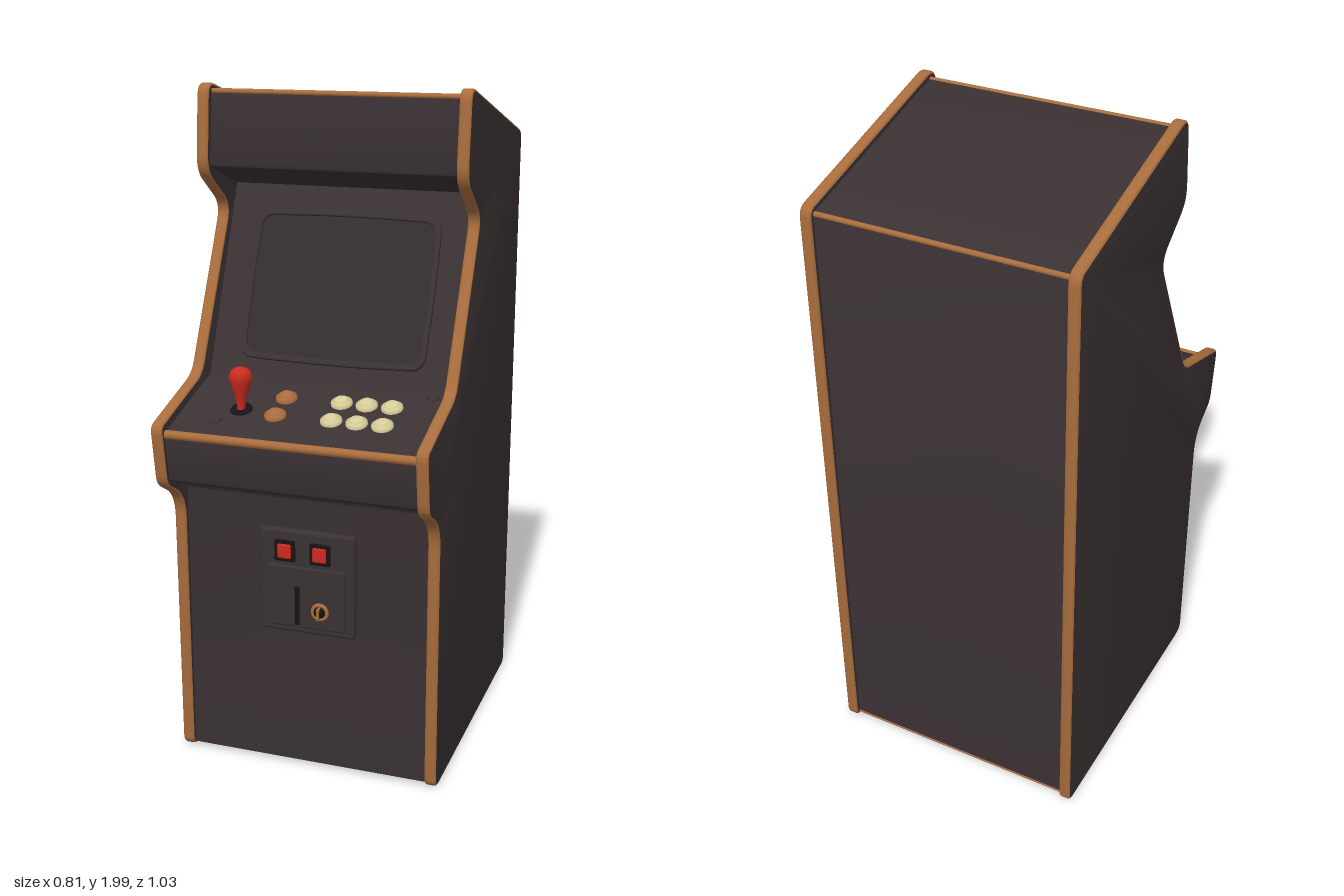
import * as THREE from 'three';
import { toCreasedNormals } from 'three/addons/utils/BufferGeometryUtils.js';
import { RoundedBoxGeometry } from 'three/addons/geometries/RoundedBoxGeometry.js';

const mat = (name, color) => Object.assign(new THREE.MeshStandardMaterial({ color }), { name });

// Closed shape from [x, y, corner radius] points
function roundedShape(points) {
  const v = points.map(([x, y]) => new THREE.Vector2(x, y));
  const n = v.length;
  const shape = new THREE.Shape();
  const toward = (a, b, d) => b.clone().sub(a).setLength(d).add(a);
  v.forEach((p, i) => {
    const r = points[i][2] || 0;
    const a = r ? toward(p, v[(i + n - 1) % n], r) : p;
    if (i) shape.lineTo(a.x, a.y); else shape.moveTo(a.x, a.y);
    if (r) {
      const b = toward(p, v[(i + 1) % n], r);
      shape.quadraticCurveTo(p.x, p.y, b.x, b.y);
    }
  });
  shape.closePath();
  return shape;
}

const screenShape = (w, h, r) => roundedShape([
  [-w, -h, r], [0, -h - 0.008, 0.15], [w, -h, r], [w + 0.006, 0, 0.15],
  [w, h, r], [0, h + 0.008, 0.15], [-w, h, r], [-w - 0.006, 0, 0.15],
]);

export function createModel() {
  const dark = mat('charcoal', 0x3a3133);
  const wood = mat('woodTrim', 0xa96d3d);
  const red = mat('red', 0xcc2a1e);
  const cream = mat('cream', 0xd6cc98);
  const black = mat('black', 0x171315);
  const glass = mat('screenGlass', 0x352d30);

  const model = new THREE.Group();
  const add = (name, geo, material, x = 0, y = 0, z = 0, parent = model) => {
    const mesh = new THREE.Mesh(geo, material);
    mesh.name = name;
    mesh.position.set(x, y, z);
    parent.add(mesh);
    return mesh;
  };

  // Side panels: (z, y) outline, dark faces with a rounded wood edge
  const sideShape = roundedShape([
    [-0.512, 0, 0.03], [0.375, 0, 0.04], [0.378, 0.83, 0.07], [0.492, 0.895, 0.03],
    [0.518, 1.08, 0.025], [0.235, 1.165, 0.04], [0.002, 1.63, 0.05],
    [0.16, 1.745, 0.05], [0.135, 2.005, 0.05], [-0.512, 1.83, 0.03],
  ]);
  for (const s of [-1, 1]) {
    const geo = toCreasedNormals(new THREE.ExtrudeGeometry(sideShape, {
      depth: 0.019, bevelThickness: 0.008, bevelSize: 0.007, bevelOffset: -0.007,
      bevelSegments: 3, curveSegments: 8,
    }), 0.6);
    geo.translate(0, 0, -0.0095);
    geo.rotateY(-Math.PI / 2);
    add(s > 0 ? 'leftSidePanel' : 'rightSidePanel', geo, [dark, wood], s * 0.3875);
  }

  // Cabinet body between the sides, with the recessed screen bay
  const bodyShape = roundedShape([
    [-0.495, 0.012], [0.358, 0.012], [0.358, 0.862, 0.02], [0.475, 0.905, 0.01],
    [0.495, 1.055, 0.01], [0.175, 1.15], [-0.06, 1.69], [0.138, 1.76, 0.01],
    [0.11, 1.978, 0.01], [-0.495, 1.815, 0.01],
  ]);
  const bodyGeo = new THREE.ExtrudeGeometry(bodyShape, { depth: 0.75, bevelEnabled: false });
  bodyGeo.translate(0, 0, -0.375);
  bodyGeo.rotateY(-Math.PI / 2);
  add('cabinetBody', toCreasedNormals(bodyGeo, 0.6), dark);

  // Wood strips along the cross edges: [name, y, z, radius]
  for (const [name, y, z, r] of [
    ['marqueeTopTrim', 1.972, 0.106, 0.008], ['controlPanelTrim', 1.05, 0.488, 0.013],
    ['backTopTrim', 1.81, -0.489, 0.008], ['backBottomTrim', 0.015, -0.491, 0.006],
  ]) {
    const geo = new THREE.CylinderGeometry(r, r, 0.745, 12);
    geo.rotateZ(Math.PI / 2);
    add(name, geo, wood, 0, y, z);
  }

  // Screen with a raised surround, lying on the sloped bay
  const screen = new THREE.Group();
  screen.name = 'screen';
  screen.position.set(0.003, 1.41, 0.0625);
  screen.rotation.x = -Math.atan2(0.235, 0.54);
  model.add(screen);
  const surround = screenShape(0.285, 0.226, 0.045);
  surround.holes.push(screenShape(0.267, 0.208, 0.04));
  add('screenSurround', new THREE.ExtrudeGeometry(surround, {
    depth: 0.006, bevelThickness: 0.005, bevelSize: 0.004, bevelOffset: -0.004, bevelSegments: 2,
  }), dark, 0, 0, 0, screen);
  add('screenGlass', new THREE.ExtrudeGeometry(screenShape(0.27, 0.211, 0.04), {
    depth: 0.004, bevelEnabled: false,
  }), glass, 0, 0, 0, screen);

  // Control panel: local x across, y out of the slope, z toward the player
  const panel = new THREE.Group();
  panel.name = 'controls';
  const slope = Math.atan2(0.095, 0.32);
  panel.position.set(0, 1.1025, 0.335);
  panel.rotation.x = slope;
  model.add(panel);
  const onPanel = z => (z - 0.335) / Math.cos(slope);
  const button = new THREE.LatheGeometry([[0, 0.02], [0.016, 0.019], [0.021, 0.014],
    [0.024, 0.01], [0.031, 0.008], [0.032, -0.004]].reverse().map(p => new THREE.Vector2(...p)), 20);
  for (const z of [0.27, 0.36]) {
    for (const x of [0.08, 0.155, 0.23]) add('playButton', button, cream, x, 0, onPanel(z), panel);
    add('startButton', button, wood, -0.088, 0, onPanel(z), panel);
  }
  const screw = new THREE.CylinderGeometry(0.016, 0.02, 0.008, 12);
  for (const [x, z] of [[-0.23, 0.25], [-0.25, 0.41], [0.33, 0.2]]) {
    add('panelBolt', screw, dark, x, 0.003, onPanel(z), panel);
  }

  // Joystick, standing upright
  add('joystickBase', new THREE.CylinderGeometry(0.03, 0.034, 0.008, 20), black, -0.198, 0.002, onPanel(0.345), panel);
  const stick = [[0.012, 0], [0.013, 0.025], [0.022, 0.055], [0.032, 0.085], [0.034, 0.1],
    [0.028, 0.115], [0.015, 0.124], [0, 0.126]];
  add('joystick', new THREE.LatheGeometry(stick.map(p => new THREE.Vector2(...p)), 20), red, -0.198, 1.1, 0.347);

  // Coin door with return buttons, slot and lock
  const door = new THREE.Group();
  door.name = 'coinDoor';
  door.position.set(0.007, 0.6, 0.358);
  model.add(door);
  add('doorFrame', new RoundedBoxGeometry(0.295, 0.32, 0.03, 3, 0.01), dark, 0, 0, 0, door);
  add('doorPlate', new RoundedBoxGeometry(0.24, 0.19, 0.012, 2, 0.005), dark, 0, -0.045, 0.016, door);
  for (const x of [-0.066, 0.042]) {
    add('buttonHousing', new RoundedBoxGeometry(0.064, 0.066, 0.014, 2, 0.005), black, x, 0.095, 0.014, door);
    add('coinButton', new RoundedBoxGeometry(0.042, 0.044, 0.016, 2, 0.005), red, x, 0.095, 0.019, door);
  }
  add('coinSlot', new THREE.BoxGeometry(0.014, 0.12, 0.008), black, -0.027, -0.07, 0.022, door);
  add('lockRing', new THREE.TorusGeometry(0.022, 0.006, 8, 20), wood, 0.044, -0.08, 0.025, door);
  add('lockCore', new THREE.SphereGeometry(0.018, 16, 10), black, 0.044, -0.08, 0.025, door);
  add('lockKey', new RoundedBoxGeometry(0.008, 0.036, 0.03, 2, 0.003), wood, 0.044, -0.08, 0.035, door);

  return model;
}
